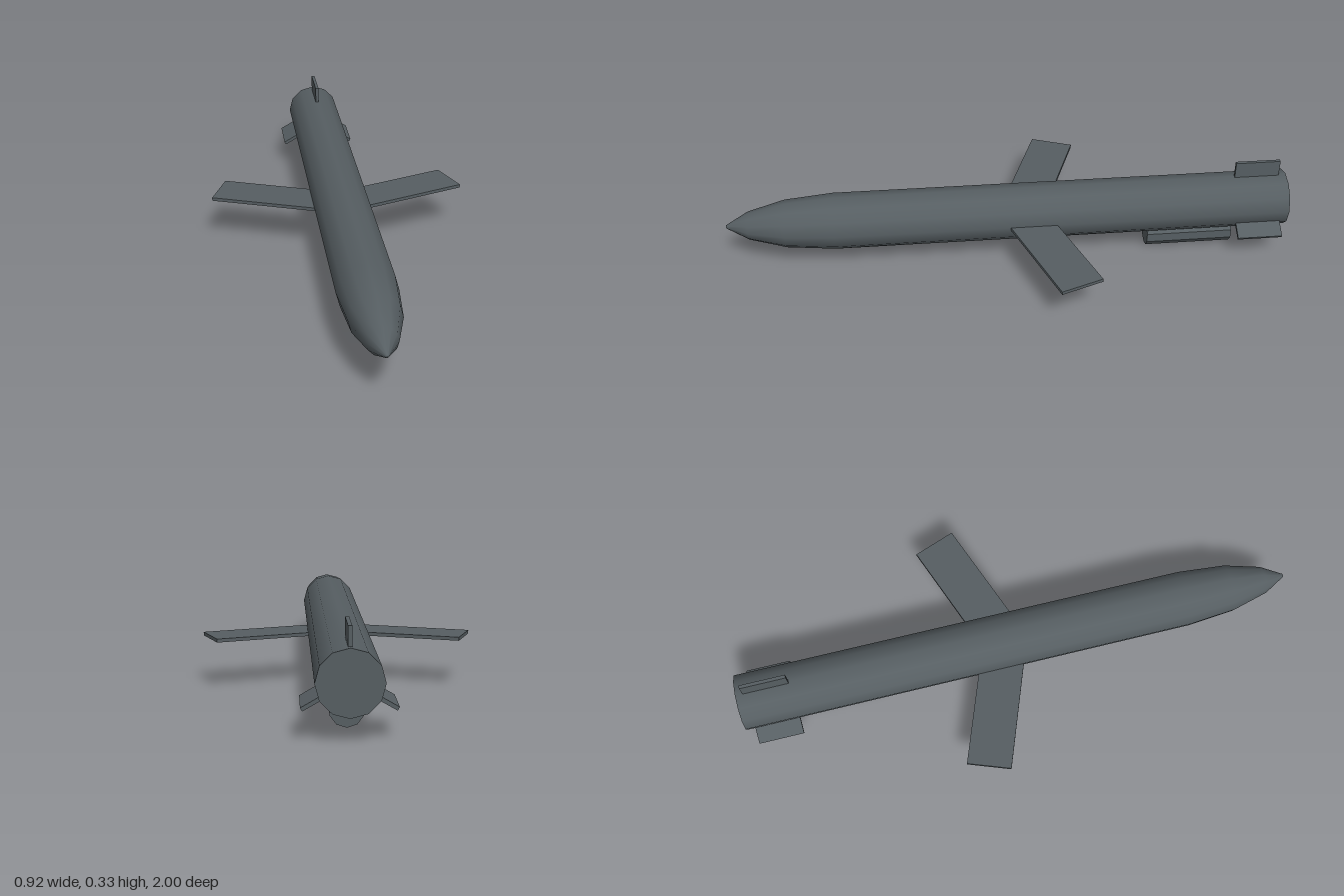
import * as THREE from 'three';

export function createModel() {
  const model = new THREE.Group();
  const grey = new THREE.MeshStandardMaterial({ color: 0x565e62 });
  grey.name = 'slate grey';
  const greyFaceted = grey.clone();
  greyFaceted.flatShading = true;
  const axisY = 0.173;

  const add = (name, geometry, material = grey, parent = model) => {
    const mesh = new THREE.Mesh(geometry, material);
    mesh.name = name;
    parent.add(mesh);
    return mesh;
  };

  // Twelve-sided fuselage with a rounded, pointed nose
  const profile = [
    [0.1, -1], [0.1, 0], [0.1, 0.62], [0.085, 0.79], [0.05, 0.92], [0.006, 0.998], [0, 1],
  ].map(([r, z]) => new THREE.Vector2(r, z));
  add('fuselage', new THREE.LatheGeometry(profile, 12).rotateX(Math.PI / 2)).position.y = axisY;
  add('tailCap', new THREE.CircleGeometry(0.1, 12).rotateY(Math.PI)).position.set(0, axisY, -1);

  // Swept wings, one on each side (shape y is -z)
  for (const side of [1, -1]) {
    const outline = [[0, -0.037], [0.46, 0.135], [0.406, 0.28], [0, 0.128]]
      .map(([x, y]) => new THREE.Vector2(side * x, y));
    const wing = new THREE.ExtrudeGeometry(new THREE.Shape(outline), { depth: 0.012, bevelEnabled: false });
    add(side > 0 ? 'leftWing' : 'rightWing', wing.rotateX(-Math.PI / 2)).position.y = 0.161;
  }

  // Three tail fins spaced evenly around the fuselage
  ['topFin', 'rightFin', 'leftFin'].forEach((name, i) => {
    const fin = new THREE.BoxGeometry(0.012, 0.107, 0.16).translate(0, 0.1045, -0.893);
    const mesh = add(name, fin);
    mesh.position.y = axisY;
    mesh.rotation.z = (i * Math.PI * 2) / 3;
  });

  // Ten-sided intake pod below the rear fuselage
  const pod = new THREE.CylinderGeometry(0.053, 0.053, 0.31, 10).rotateX(Math.PI / 2);
  add('intakePod', pod, greyFaceted).position.set(0, 0.053, -0.657);

  return model;
}
